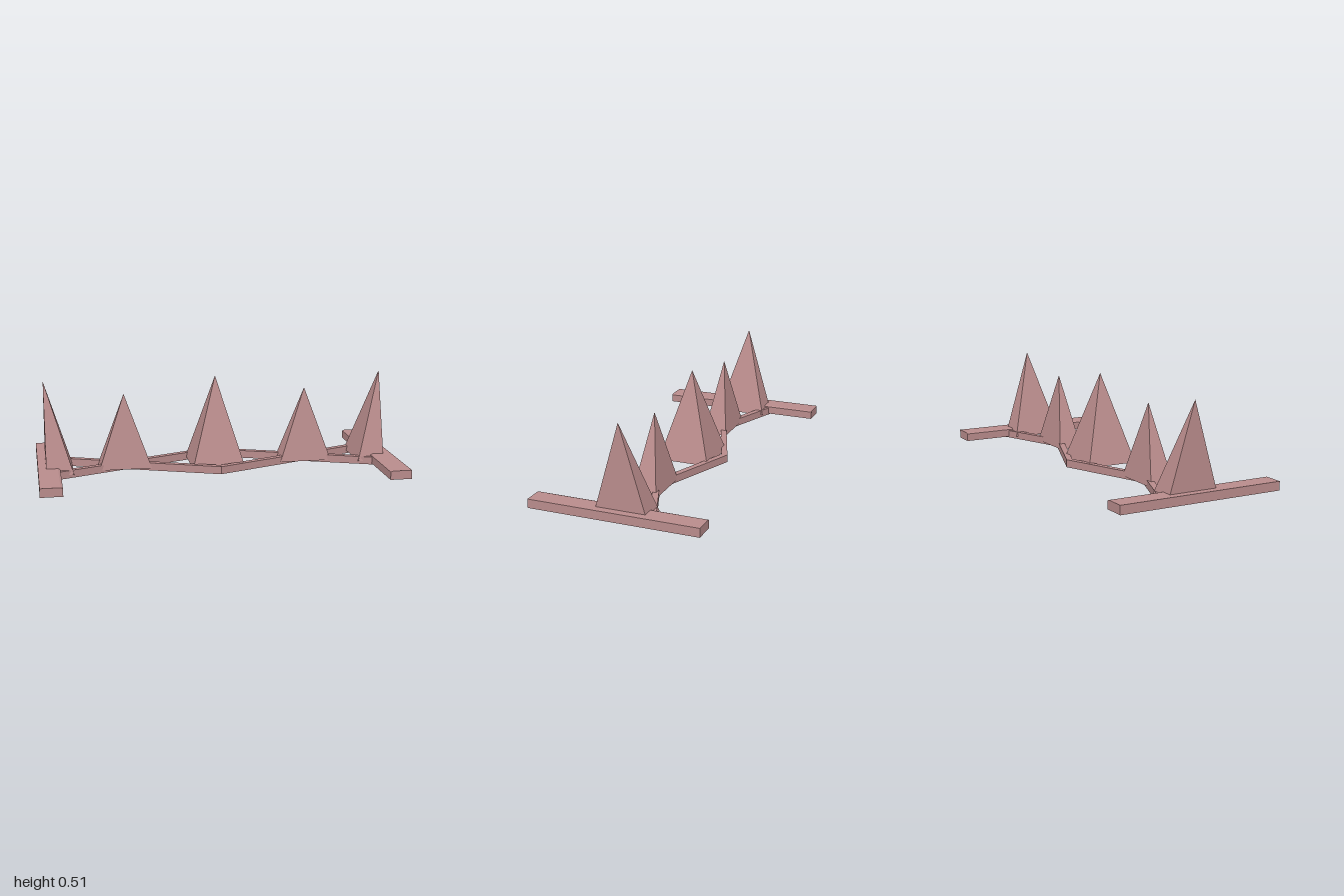
import * as THREE from 'three';

const material = new THREE.MeshStandardMaterial({ color: 0xb98c8c, flatShading: true });
const MID_Z = -0.028; // axis of the spikes and the crossing strips

function addMesh(parent, name, geometry) {
  const mesh = new THREE.Mesh(geometry, material);
  mesh.name = name;
  parent.add(mesh);
  return mesh;
}

// Closed pyramid: rectangular base and a freely placed apex
function pyramid(x0, x1, z0, z1, base, apex) {
  const a = [x0, base, z1], b = [x1, base, z1], c = [x1, base, z0], d = [x0, base, z0];
  const faces = [a, b, apex, b, c, apex, c, d, apex, d, a, apex, a, d, c, a, c, b];
  const g = new THREE.BufferGeometry();
  g.setAttribute('position', new THREE.Float32BufferAttribute(faces.flat(), 3));
  g.computeVertexNormals();
  return g;
}

// Flat V-shaped strip lying on the ground, its bend at x = 0
function chevron(bendZ, endZ) {
  const w = 0.018, reach = 0.96;
  const shape = new THREE.Shape([
    [-reach, endZ - w], [0, bendZ - w], [reach, endZ - w],
    [reach, endZ + w], [0, bendZ + w], [-reach, endZ + w],
  ].map(([x, z]) => new THREE.Vector2(x, -z)));
  const g = new THREE.ExtrudeGeometry(shape, { depth: 0.043, bevelEnabled: false });
  return g.rotateX(-Math.PI / 2);
}

// Long end bar with a slight chamfer along its inner top edge
function endBar(side) {
  const profile = [[0.88, 0.006], [1, 0.006], [1, 0.055], [0.892, 0.055], [0.88, 0.05]];
  const shape = new THREE.Shape(profile.map(([x, y]) => new THREE.Vector2(side * x, y)));
  const g = new THREE.ExtrudeGeometry(shape, { depth: 0.94, bevelEnabled: false });
  return g.translate(0, 0, -0.47);
}

export function createModel() {
  const model = new THREE.Group();
  model.name = 'spikeStrip';

  // Crossing strips of the lattice
  addMesh(model, 'backStrip', chevron(-0.221, 0.148));
  addMesh(model, 'frontStrip', chevron(0.165, -0.204));

  // Middle spike
  addMesh(model, 'middleSpike', pyramid(-0.147, 0.147, -0.175, 0.118, 0.018, [0, 0.515, MID_Z + 0.003]));

  for (const side of [1, -1]) {
    const label = side > 0 ? 'left' : 'right';
    addMesh(model, label + 'Bar', endBar(side));

    // Narrow spike over the crossing
    const cx = side * 0.515;
    addMesh(model, label + 'Spike',
      pyramid(cx - 0.147, cx + 0.147, -0.092, 0.046, 0.014, [cx, 0.43, MID_Z + 0.005]));

    // Half spike, upright on its outer side
    const outer = side * 0.955, inner = side * 0.805;
    addMesh(model, label + 'EndSpike',
      pyramid(Math.min(outer, inner), Math.max(outer, inner), -0.175, 0.118, 0.018, [outer, 0.515, MID_Z + 0.003]));
  }
  return model;
}
